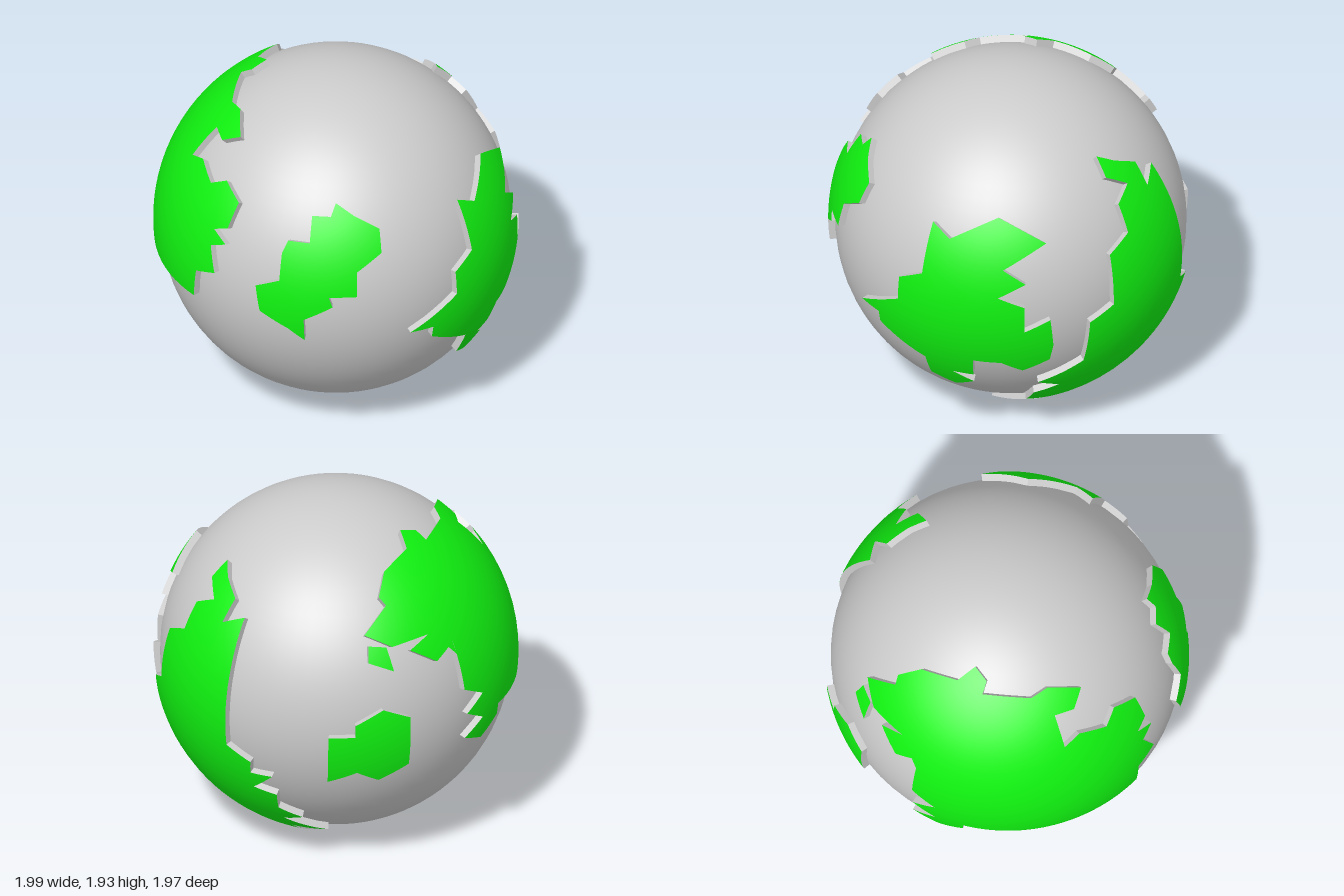
import * as THREE from 'three';

const CENTRE_Y = 0.96, SEA_R = 0.957, LAND_R = 0.995, LEVELS = 4;

// Turns flat outline points, seen from an azimuth and elevation, into directions on the globe
function outline(azimuth, elevation, points, yOffset = 0) {
  const a = THREE.MathUtils.degToRad(azimuth), e = THREE.MathUtils.degToRad(elevation);
  const right = new THREE.Vector3(Math.cos(a), 0, -Math.sin(a));
  const toward = new THREE.Vector3(Math.sin(a) * Math.cos(e), Math.sin(e), Math.cos(a) * Math.cos(e));
  const up = toward.clone().cross(right);
  return points.map(([x, py]) => {
    const y = py - yOffset;
    const depth = Math.sqrt(Math.max(0, LAND_R * LAND_R - x * x - y * y));
    return new THREE.Vector3().addScaledVector(right, x).addScaledVector(up, y)
      .addScaledVector(toward, depth).normalize();
  });
}

const middle = (a, b) => a.clone().add(b).normalize();

function splitTriangle(a, b, c, level, out) {
  if (level === 0) return out.push(a, b, c);
  const ab = middle(a, b), bc = middle(b, c), ca = middle(c, a);
  for (const t of [[a, ab, ca], [ab, b, bc], [ca, bc, c], [ab, bc, ca]]) splitTriangle(...t, level - 1, out);
}

function splitEdge(a, b, level, out) {
  if (level === 0) return out.push([a, b]);
  const m = middle(a, b);
  splitEdge(a, m, level - 1, out);
  splitEdge(m, b, level - 1, out);
}

// Raised land: a curved top plus cliffs down into the sea
function landmass(name, dirs, landMaterial, cliffMaterial) {
  // flatten around the middle of the outline, then triangulate
  const n = dirs.reduce((s, d) => s.add(d), new THREE.Vector3()).normalize();
  const u = new THREE.Vector3(0, 1, 0).cross(n).normalize();
  const v = n.clone().cross(u);
  const flatten = d => new THREE.Vector2(d.dot(u), d.dot(v)).setLength(d.angleTo(n));
  let ring = dirs;
  if (THREE.ShapeUtils.isClockWise(ring.map(flatten))) ring = ring.slice().reverse();
  const flat = ring.map(flatten);

  const top = [];
  for (const [i, j, k] of THREE.ShapeUtils.triangulateShape(flat, [])) {
    splitTriangle(ring[i], ring[j], ring[k], LEVELS, top);
  }
  const topGeometry = new THREE.BufferGeometry().setFromPoints(top.map(d => d.clone().multiplyScalar(LAND_R)));
  topGeometry.setAttribute('normal', new THREE.Float32BufferAttribute(top.flatMap(d => d.toArray()), 3));

  const edges = [], cliff = [];
  ring.forEach((d, i) => splitEdge(d, ring[(i + 1) % ring.length], LEVELS - 1, edges));
  for (const [a, b] of edges) {
    const [a0, b0] = [a, b].map(d => d.clone().multiplyScalar(SEA_R - 0.012));
    const [a1, b1] = [a, b].map(d => d.clone().multiplyScalar(LAND_R));
    cliff.push(a0, b0, b1, a0, b1, a1);
  }
  const cliffGeometry = new THREE.BufferGeometry().setFromPoints(cliff);
  cliffGeometry.computeVertexNormals();

  const group = new THREE.Group();
  group.name = name;
  const land = new THREE.Mesh(topGeometry, landMaterial);
  land.name = name + 'Top';
  const sides = new THREE.Mesh(cliffGeometry, cliffMaterial);
  sides.name = name + 'Cliffs';
  group.add(land, sides);
  return group;
}

export function createModel() {
  const model = new THREE.Group();
  model.name = 'globe';
  const grey = new THREE.MeshStandardMaterial({ color: 0xcccccc });
  const green = new THREE.MeshStandardMaterial({ color: 0x10f010 });

  // Sea
  const sea = new THREE.Mesh(new THREE.SphereGeometry(SEA_R, 64, 40), grey);
  sea.name = 'sea';
  model.add(sea);

  // Coastlines
  const coasts = {
    frontContinent: outline(0, 0, [
      [-.29, .82], [0, .97], [0, 1.11], [.14, 1.18], [.13, 1.46], [.25, 1.4], [.45, 1.53], [.69, 1.4],
      [.55, 1.27], [.66, 1.19], [.55, 1.11], [.67, 1.05], [.67, .89], [.77, .96], [.77, .78], [.74, .67],
      [.62, .59], [.54, .66], [.41, .66], [.38, .53], [.27, .53], [.36, .46], [.24, .4], [.12, .46],
      [.13, .6], [-.15, .74], [-.15, .81],
    ], CENTRE_Y),
    frontIsland: outline(0, 0, [
      [-.51, 1.59], [-.46, 1.53], [-.37, 1.46], [-.4, 1.34], [-.54, 1.25], [-.56, 1.11], [-.68, 1.11],
      [-.67, 1.05], [-.78, .96], [-.77, .82], [-.83, .89], [-.91, .97], [-.91, 1.12], [-.84, 1.18],
      [-.8, 1.33], [-.76, 1.4], [-.69, 1.4], [-.63, 1.53], [-.56, 1.53],
    ], CENTRE_Y),
    // its lower rear coast wraps underneath
    sideContinent: [
      ...outline(0, 0, [[.16, .05]], CENTRE_Y),
      ...outline(90, 0, [
        [-.34, .18], [-.46, .21], [-.52, .33], [-.45, .4], [-.575, .46], [-.415, .6], [-.435, .89],
        [-.3, .96], [-.28, 1.26], [-.13, 1.33], [-.12, 1.48], [0, 1.54], [-.11, 1.61], [-.085, 1.7],
        [0, 1.65], [.13, 1.59], [.13, 1.47], [.245, 1.53], [.29, 1.25], [.3, .81], [.43, .74], [.41, .66],
      ], CENTRE_Y),
      ...outline(137.5, -29, [
        [-.23, .19], [-.34, .05], [-.21, .04], [-.21, -.1], [-.08, -.17], [-.19, -.24], [.04, -.38],
        [-.16, -.38], [-.05, -.61], [-.16, -.65], [-.08, -.73], [-.17, -.78], [-.27, -.76], [-.32, -.83],
      ]),
    ],
    backIsland: outline(137.5, -29, [
      [.09, .49], [.235, .48], [.235, .54], [.38, .58], [.52, .49], [.51, .22], [.35, .175], [.24, .26], [.08, .21],
    ]),
    backContinent: outline(215, 28, [
      [-.12, .595], [-.05, .54], [-.065, .475], [.2, .47], [.28, .515], [.46, .485], [.435, .385], [.335, .37],
      [.405, .175], [.475, .24], [.615, .23], [.645, .32], [.75, .31], [.81, .165], [.78, .095], [.845, .09],
      [.81, .01], [.865, -.1], [.795, -.2], [.785, -.36], [.62, -.43], [.35, -.5], [.1, -.535], [-.12, -.535],
      [-.12, -.59], [-.26, -.64], [-.405, -.565], [-.275, -.525], [-.405, -.435], [-.28, -.39], [-.41, -.295],
      [-.385, -.015], [-.515, -.05], [-.605, .09], [-.485, .105], [-.66, .16], [-.71, .29], [-.55, .36],
      [-.54, .415], [-.415, .5], [-.21, .515],
    ]),
    backIslet: outline(215, 28, [[-.73, .23], [-.68, .175], [-.71, .04], [-.77, .15]]),
  };
  for (const [name, dirs] of Object.entries(coasts)) model.add(landmass(name, dirs, green, grey));

  for (const part of model.children) part.position.y = CENTRE_Y;
  return model;
}
